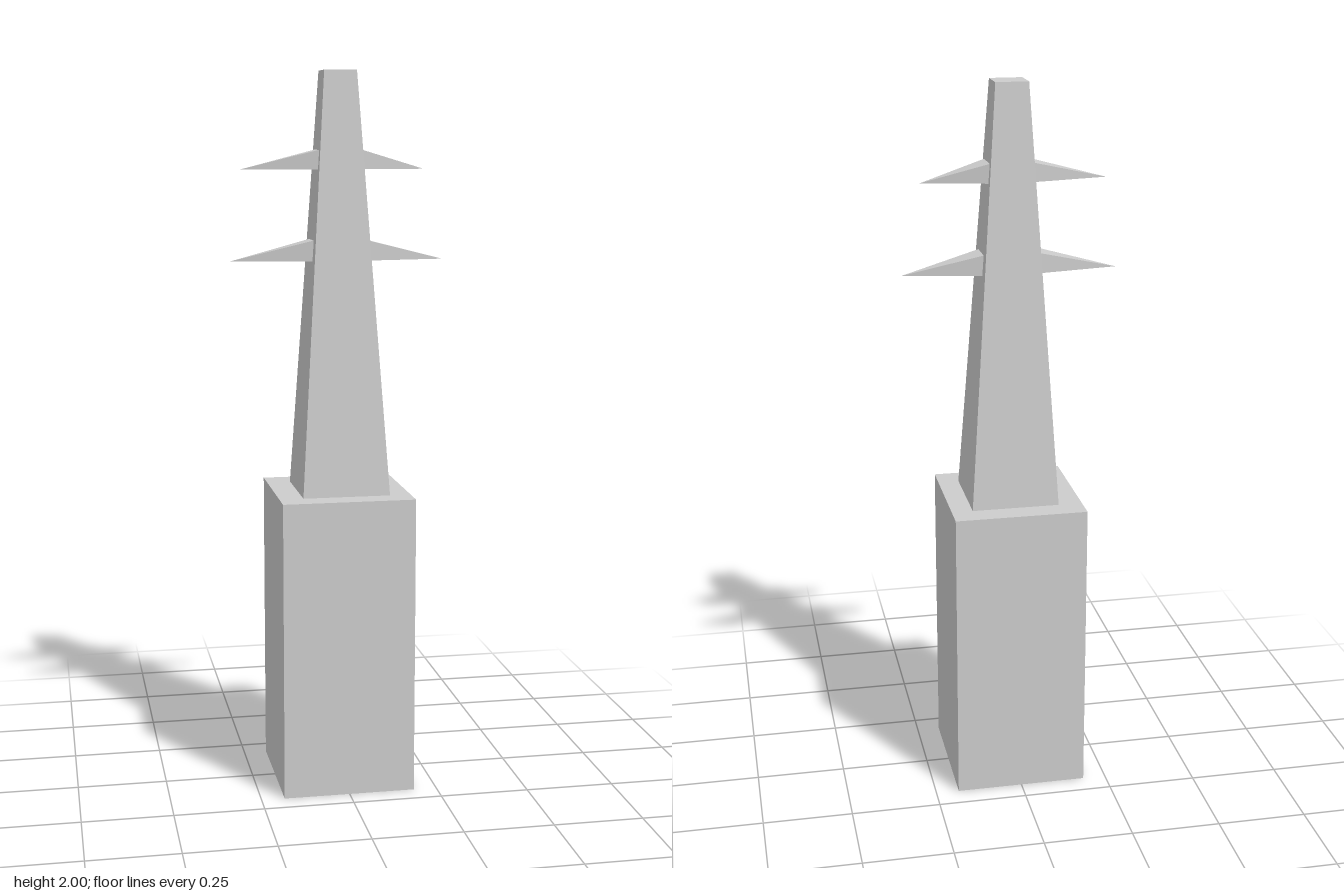
import * as THREE from 'three';
import { ConvexGeometry } from 'three/addons/geometries/ConvexGeometry.js';

const stone = new THREE.MeshStandardMaterial({ color: 0xcccccc, side: THREE.DoubleSide });
stone.name = 'paleGrey';

const BASE_TOP = 0.84;

function addPart(group, name, geometry) {
  const mesh = new THREE.Mesh(geometry, stone);
  mesh.name = name;
  group.add(mesh);
}

// Box without its bottom face, so the plinth is hollow from below
function openBox(width, height, depth) {
  const geometry = new THREE.BoxGeometry(width, height, depth);
  const index = Array.from(geometry.index.array);
  index.splice(18, 6);
  geometry.setIndex(index);
  geometry.clearGroups();
  return geometry.translate(0, height / 2, 0);
}

// Tapering four-sided shaft, its foot slightly off centre
function shaftGeometry() {
  const points = [];
  for (const sx of [-1, 1]) {
    for (const sz of [-1, 1]) {
      points.push(new THREE.Vector3(0.004 + sx * 0.122, BASE_TOP, sz * 0.121));
      points.push(new THREE.Vector3(sx * 0.045, 2, sz * 0.045));
    }
  }
  return new ConvexGeometry(points);
}

// Flat-bottomed pyramid pointing outwards, with its tip level with the bottom
function spikeGeometry(rootX, tipX, bottom, top) {
  const points = [new THREE.Vector3(tipX, bottom, 0)];
  for (const y of [bottom, top]) {
    for (const z of [-0.042, 0.042]) points.push(new THREE.Vector3(rootX, y, z));
  }
  return new ConvexGeometry(points);
}

export function createModel() {
  const group = new THREE.Group();
  group.name = 'spikedPillar';

  addPart(group, 'plinth', openBox(0.37, BASE_TOP, 0.376));
  addPart(group, 'shaft', shaftGeometry());

  // Two pairs of side spikes
  addPart(group, 'upperLeftSpike', spikeGeometry(0.058, 0.242, 1.735, 1.788));
  addPart(group, 'upperRightSpike', spikeGeometry(-0.055, -0.268, 1.735, 1.788));
  addPart(group, 'lowerLeftSpike', spikeGeometry(0.068, 0.297, 1.486, 1.544));
  addPart(group, 'lowerRightSpike', spikeGeometry(-0.068, -0.299, 1.486, 1.544));
  return group;
}
